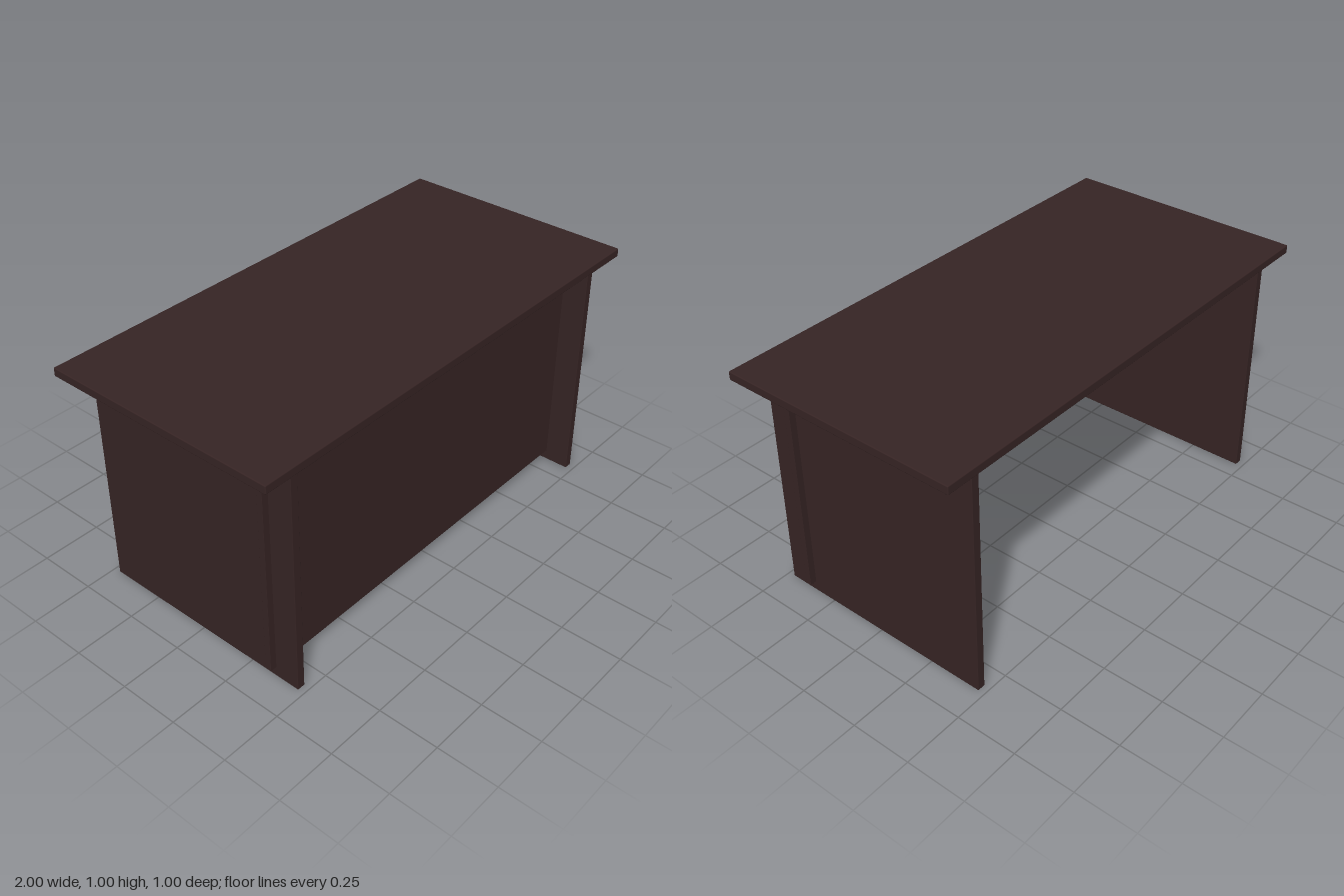
import * as THREE from 'three';
import { RoundedBoxGeometry } from 'three/addons/geometries/RoundedBoxGeometry.js';

export function createModel() {
  const desk = new THREE.Group();
  desk.name = 'desk';
  const darkWood = new THREE.MeshStandardMaterial({ color: 0x362424 });
  darkWood.name = 'dark wood';

  // Board with slightly softened edges, placed by its centre
  function addBoard(name, [w, h, d], [x, y, z], radius) {
    const board = new THREE.Mesh(new RoundedBoxGeometry(w, h, d, 2, radius), darkWood);
    board.name = name;
    board.position.set(x, y, z);
    desk.add(board);
  }

  // Table top
  addBoard('tableTop', [2, 0.035, 1], [0, 0.9825, 0], 0.004);

  // Side panels that carry the top
  for (const [name, side] of [['leftSidePanel', 1], ['rightSidePanel', -1]]) {
    addBoard(name, [0.033, 0.966, 0.945], [side * 0.847, 0.483, 0], 0.002);
  }

  // Modesty panel near the front, its ends passing through the sides
  addBoard('modestyPanel', [1.782, 0.88, 0.025], [0, 0.483, 0.357], 0.001);

  return desk;
}
